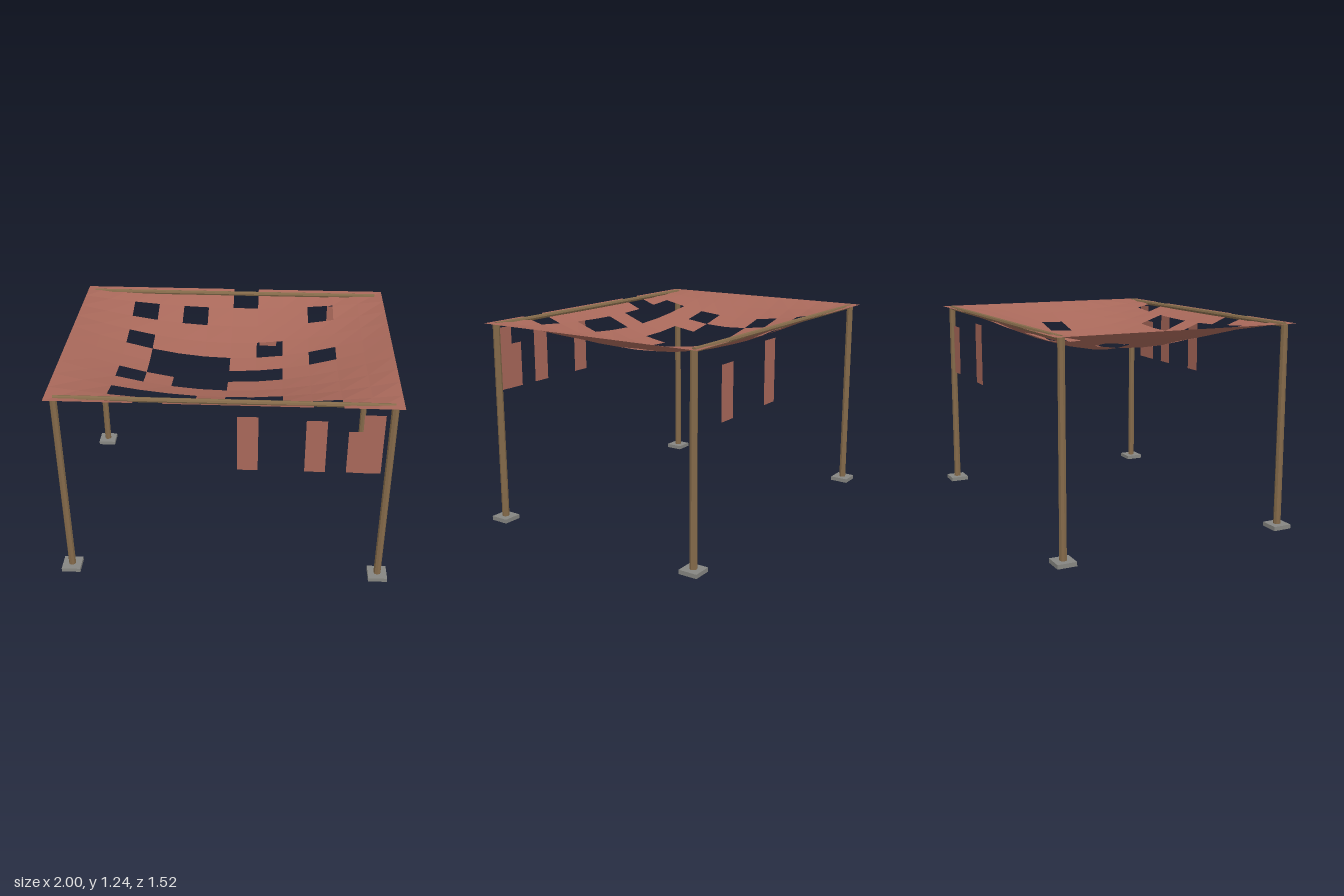
import * as THREE from 'three';

const cloth = new THREE.MeshStandardMaterial({ name: 'faded red cloth', color: 0xa8685a, side: THREE.DoubleSide, flatShading: true });
const wood = new THREE.MeshStandardMaterial({ name: 'brown wood', color: 0x846a4a, flatShading: true });
const stone = new THREE.MeshStandardMaterial({ name: 'grey stone', color: 0x868682, flatShading: true });

const HALF_X = 0.99, HALF_Z = 0.755, COLS = 12, ROWS = 10, TOP = 1.233, SAG = 0.213;

// Torn-out cells: row -> columns, both counted from the back left corner of the plan
const HOLES = {
  0: [6],
  1: [2, 4, 9],
  3: [2, 7],
  4: [3, 4, 5, 9],
  5: [3, 4, 5, 6, 7],
  6: [2, 4, 5],
  8: [2, 3, 4, 6, 7],
  9: [3, 9],
};

// Sag across one direction, 0 at the edges and 1 in the middle
const dip = (t) => 0.5 * (1 - t * t) + 0.5 * Math.cos(t * Math.PI / 2);

function canopyGeometry() {
  const positions = [], index = [];
  for (let r = 0; r <= ROWS; r++) {
    for (let c = 0; c <= COLS; c++) {
      const u = (2 * c) / COLS - 1, v = (2 * r) / ROWS - 1;
      positions.push(u * HALF_X, TOP - SAG * dip(u) * dip(v), v * HALF_Z);
    }
  }
  for (let r = 0; r < ROWS; r++) {
    for (let c = 0; c < COLS; c++) {
      if (HOLES[r]?.includes(c)) continue;
      const a = r * (COLS + 1) + c, b = a + COLS + 1;
      index.push(a, b, a + 1, b, b + 1, a + 1);
    }
  }
  const g = new THREE.BufferGeometry();
  g.setAttribute('position', new THREE.Float32BufferAttribute(positions, 3));
  g.setIndex(index);
  g.computeVertexNormals();
  return g;
}

export function createModel() {
  const model = new THREE.Group();
  model.name = 'tornCanopy';
  const add = (name, geometry, material, x, y, z) => {
    const mesh = new THREE.Mesh(geometry, material);
    mesh.name = name;
    mesh.position.set(x, y, z);
    model.add(mesh);
    return mesh;
  };

  // Sagging cloth roof
  add('canopyCloth', canopyGeometry(), cloth, 0, 0, 0);

  // Corner posts on square footings
  const post = new THREE.CylinderGeometry(0.021, 0.022, 1.2, 8);
  const footing = new THREE.BoxGeometry(0.115, 0.025, 0.115);
  for (const x of [-0.942, 0.942]) {
    for (const z of [-0.703, 0.703]) {
      add('post', post, wood, x, 0.625, z);
      add('footing', footing, stone, x, 0.0125, z);
    }
  }

  // Rails along the front and back
  const rail = new THREE.CylinderGeometry(0.015, 0.015, 1.884, 8).rotateZ(Math.PI / 2);
  for (const z of [-0.703, 0.703]) add('rail', rail, wood, 0, 1.224, z);

  // Hanging cloth strips: left x, top y, z
  const strips = [
    [0.08, 1.16, 0.752], [0.46, 1.145, 0.752], [0.695, 1.08, 0.751], [0.773, 1.19, 0.753],
    [0.178, 1.18, -0.752], [0.634, 1.12, -0.752],
  ];
  for (const [x, top, z] of strips) {
    const h = top - 0.805;
    add('hangingStrip', new THREE.PlaneGeometry(0.117, h), cloth, x + 0.0585, 0.805 + h / 2, z);
  }
  return model;
}
